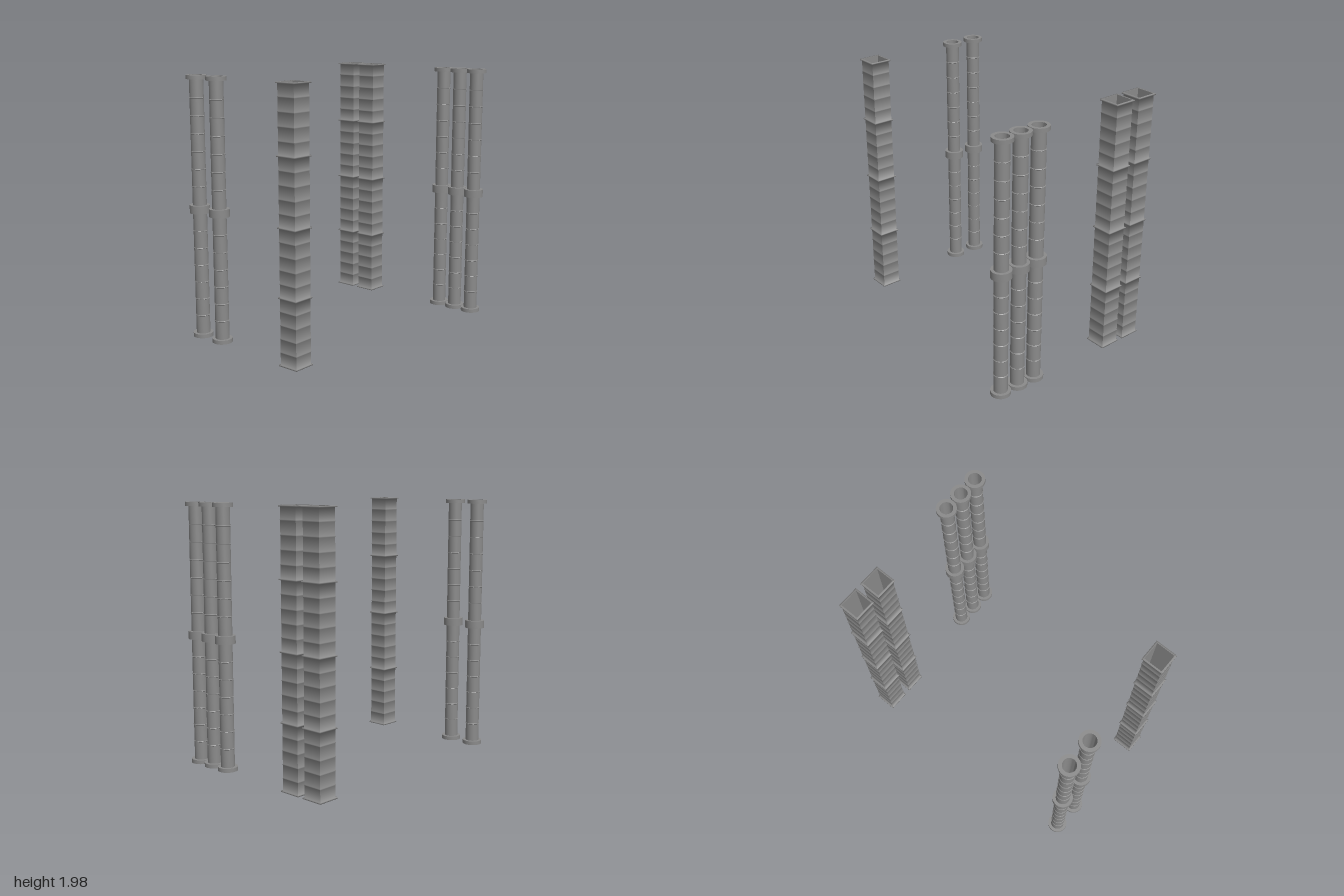
import * as THREE from 'three';
import { toCreasedNormals, mergeGeometries } from 'three/addons/utils/BufferGeometryUtils.js';

const HEIGHT = 1.98;
const material = new THREE.MeshStandardMaterial({ color: 0x8a8a8a, side: THREE.DoubleSide });

// Close an outer profile of [radius, y] pairs with a straight inner wall.
// The doubled point keeps the inner rim sharp.
function closedProfile(outer, inner) {
  return [[inner, 0], ...outer, [inner, HEIGHT], [inner, HEIGHT], [inner, 0]]
    .map(([r, y]) => new THREE.Vector2(r, y));
}

// Small raised bead around a wall of the given radius.
function bead(r, y, rise, half) {
  return [[r, y - half], [r + rise, y], [r, y + half]];
}

// Square-cornered band standing out from a wall.
function band(wall, r, y0, y1) {
  return [[wall, y0], [r, y0], [r, y1], [wall, y1]];
}

// Unit normal of each profile point, averaged from its two neighbouring edges.
function profileNormals(points) {
  const edges = points.slice(1).map((p, i) => {
    const d = p.clone().sub(points[i]);
    return new THREE.Vector2(d.y, -d.x).normalize();
  });
  return points.map((p, i) => {
    const n = new THREE.Vector2();
    if (i > 0) n.add(edges[i - 1]);
    if (i < edges.length) n.add(edges[i]);
    return n.normalize();
  });
}

// Four mitred sides around a square, shaded softly up the wall and sharp at the corners.
function squareColumn(points) {
  const normals = profileNormals(points);
  const mitred = points.map((p) => new THREE.Vector2(p.x * Math.SQRT2, p.y));
  const side = new THREE.LatheGeometry(mitred, 1, -Math.PI / 4, Math.PI / 2);
  const attribute = side.attributes.normal;
  for (let i = 0; i < attribute.count; i++) {
    const n = normals[i % points.length];
    attribute.setXYZ(i, 0, n.y, n.x);
  }
  return mergeGeometries([0, 1, 2, 3].map((k) => side.clone().rotateY(k * Math.PI / 2)));
}

// Square duct: four flanged sections with four beads each.
function ductGeometry() {
  const wall = 0.0745, flange = 0.0845, t = 0.005, section = HEIGHT / 4;
  const outer = [[flange, 0], [flange, 2 * t], [wall, 2 * t]];
  for (let s = 0; s < 4; s++) {
    const y = s * section;
    for (let i = 1; i < 5; i++) outer.push(...bead(wall, y + section * i / 5, 0.003, 0.004));
    if (s < 3) outer.push(...band(wall, flange, y + section - t, y + section + t));
  }
  outer.push([wall, HEIGHT - 2 * t], [flange, HEIGHT - 2 * t], [flange, HEIGHT]);
  return squareColumn(closedProfile(outer, 0.072));
}

// Round pipe: two flanged sections with six beads each.
function pipeGeometry() {
  const wall = 0.052, flange = 0.0755, t = 0.03, mid = HEIGHT / 2;
  const outer = [[flange, 0], [flange, t], [wall, t]];
  for (let s = 0; s < 2; s++) {
    for (let i = 0; i < 6; i++) outer.push(...bead(wall, s * mid + 0.17 + i * 0.131, 0.004, 0.004));
    if (s === 0) outer.push(...band(wall, flange, mid - t, mid + t));
  }
  outer.push([wall, HEIGHT - t], [flange, HEIGHT - t], [flange, HEIGHT]);
  return toCreasedNormals(new THREE.LatheGeometry(closedProfile(outer, 0.049), 32), 0.4);
}

export function createModel() {
  const model = new THREE.Group();
  model.name = 'ductsAndPipes';

  const place = (name, geometry, x, depths) => {
    const group = new THREE.Group();
    group.name = name;
    depths.forEach((z, i) => {
      const mesh = new THREE.Mesh(geometry, material);
      mesh.name = `${name}${i + 1}`;
      mesh.position.set(x, 0, z);
      group.add(mesh);
    });
    model.add(group);
  };

  const duct = ductGeometry();
  const pipe = pipeGeometry();
  place('rightDuct', duct, -0.915, [0.385]);
  place('leftDuct', duct, 0.908, [-0.412, -0.626]);
  place('rightPipe', pipe, -0.916, [-0.366, -0.579]);
  place('leftPipe', pipe, 0.924, [0.324, 0.479, 0.634]);
  return model;
}
